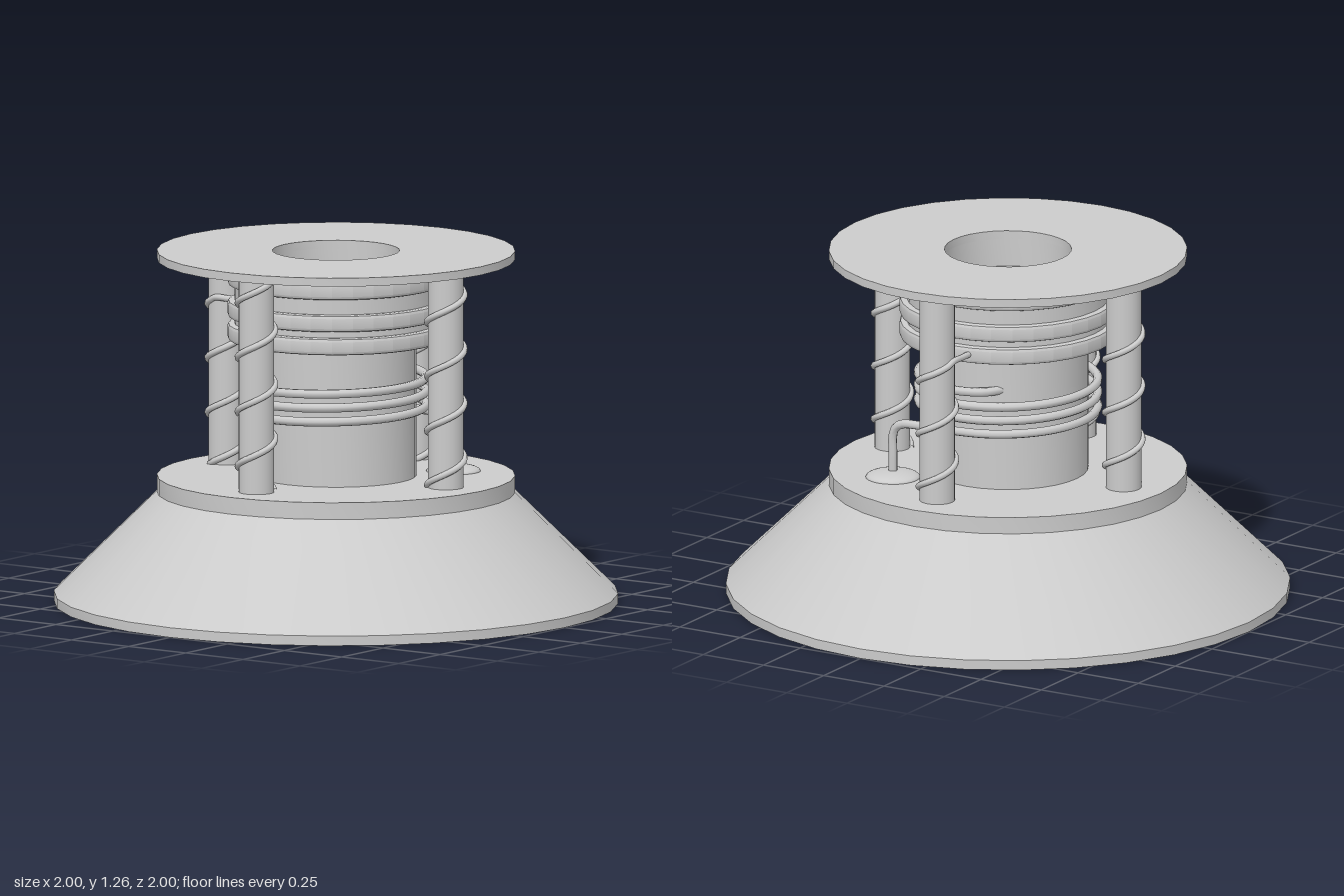
import * as THREE from 'three';
import { toCreasedNormals } from 'three/addons/utils/BufferGeometryUtils.js';

const material = new THREE.MeshStandardMaterial({ color: 0xcccccc });
const DECK = 0.455;      // top of the flared base
const PLATE = 1.23;      // underside of the top plate

function add(parent, name, geometry, x = 0, y = 0, z = 0) {
  const mesh = new THREE.Mesh(geometry, material);
  mesh.name = name;
  mesh.position.set(x, y, z);
  parent.add(mesh);
  return mesh;
}

// Turned part from a list of [radius, height], with sharp edges kept
function turned(profile, segments = 32) {
  const points = profile.map(([r, y]) => new THREE.Vector2(r, y));
  return toCreasedNormals(new THREE.LatheGeometry(points, segments), 0.45);
}

function wire(points, radius, segments) {
  const curve = new THREE.CatmullRomCurve3(points, false, 'centripetal');
  return new THREE.TubeGeometry(curve, segments, radius, 8);
}

// Point on a helix that climbs counter-clockwise seen from above
function helixPoint(radius, angle, y) {
  return new THREE.Vector3(radius * Math.cos(angle), y, -radius * Math.sin(angle));
}

// Pillar on the +z side; its wire winds up and runs inward at feedHeight
function woundPillar(feedHeight) {
  const group = new THREE.Group();
  const distance = 0.48, radius = 0.066, pitch = 0.195;
  add(group, 'pillarPost', new THREE.CylinderGeometry(0.063, 0.063, PLATE - DECK + 0.01, 24),
    0, (PLATE + DECK) / 2, distance);

  const turns = (feedHeight - DECK) / pitch;
  const steps = Math.ceil(turns * 16);
  const points = [];
  for (let i = 0; i <= steps; i++) {
    const t = i / steps;
    const angle = (t - 1) * turns * Math.PI * 2;
    const p = helixPoint(radius, angle, THREE.MathUtils.lerp(DECK, feedHeight, t));
    p.z += distance;
    points.push(p);
  }
  points.push(new THREE.Vector3(radius, feedHeight, 0.42), new THREE.Vector3(radius, feedHeight, 0.33));
  add(group, 'pillarWire', wire(points, 0.0115, 150));
  return group;
}

export function createModel() {
  const model = new THREE.Group();
  model.name = 'coilStand';

  // Flared base with rim and collar
  add(model, 'base', turned([[0, 0], [1, 0], [1, 0.035], [0.635, 0.395], [0.635, DECK], [0, DECK]]));

  // Central column
  add(model, 'column', turned([[0.285, DECK - 0.01], [0.285, 0.96]]));

  // Drum with a blind bore opening through the top plate
  add(model, 'drum', turned([[0.27, 0.955], [0.36, 0.955], [0.36, PLATE + 0.005]]));
  add(model, 'bore', turned([[0.225, 1.255], [0.225, 1.13], [0, 1.13]]));
  add(model, 'topPlate', turned([
    [0.225, PLATE], [0.635, PLATE], [0.635, 1.26], [0.225, 1.26], [0.225, PLATE],
  ]));

  // Rounded rings around the drum
  for (const y of [0.972, 1.055, 1.17]) {
    add(model, 'drumRing', turned([
      [0.35, -0.03], [0.373, -0.03], [0.381, -0.027], [0.385, -0.018],
      [0.385, 0.018], [0.381, 0.027], [0.373, 0.03], [0.35, 0.03],
    ]), 0, y, 0);
  }

  // Four pillars, each wire feeding the drum at its own height
  [['front', 1.175], ['left', 0.975], ['back', 1.055], ['right', 1.212]].forEach(([side, feed], i) => {
    const pillar = woundPillar(feed);
    pillar.name = `${side}Pillar`;
    pillar.rotation.y = i * Math.PI / 2;
    model.add(pillar);
  });

  // Pipe rising from its foot, bending back and coiling round the column
  const R = 0.318, footZ = 0.283;
  const pipe = [[0.46, footZ], [0.54, footZ], [0.61, footZ], [0.64, footZ - 0.012],
    [0.657, footZ - 0.045], [0.66, 0.2], [0.662, 0.1]]
    .map(([y, z]) => new THREE.Vector3(R, y, z));
  const steps = 72;
  for (let i = 0; i <= steps; i++) {
    const t = i / steps;
    pipe.push(helixPoint(R, t * 6 * Math.PI, 0.665 + 0.15 * t));
  }
  pipe.push(helixPoint(0.305, 0.28, 0.818), helixPoint(0.265, 0.5, 0.82));
  add(model, 'coilPipe', wire(pipe, 0.016, 300));

  // Low domed foot under the pipe
  const foot = add(model, 'pipeFoot',
    new THREE.SphereGeometry(1, 24, 8, 0, Math.PI * 2, 0, Math.PI / 2), R, DECK, footZ);
  foot.scale.set(0.097, 0.025, 0.097);

  return model;
}
